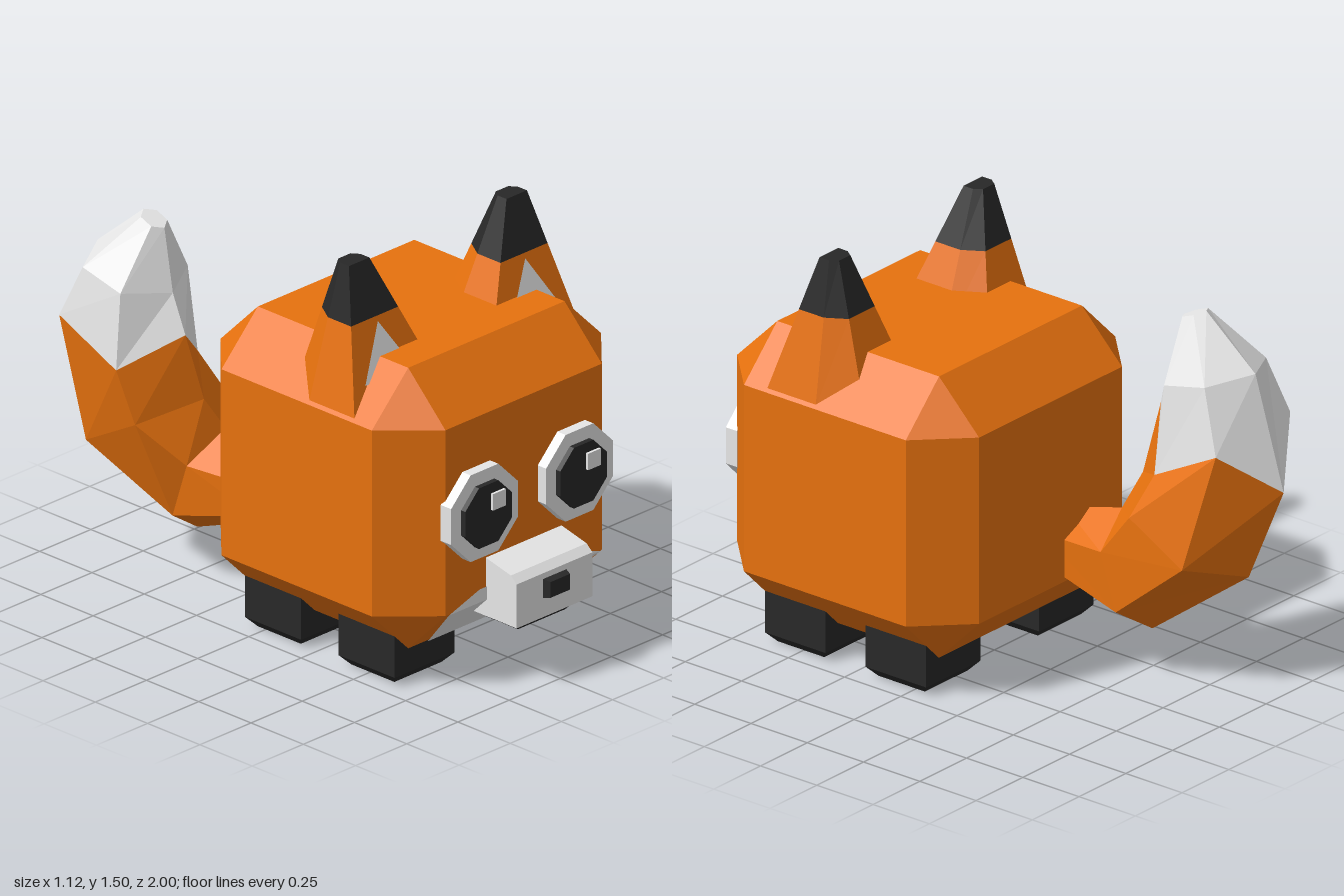
import * as THREE from 'three';
import { ConvexGeometry } from 'three/addons/geometries/ConvexGeometry.js';

const orange = new THREE.MeshStandardMaterial({ name: 'orange fur', color: 0xf0760f });
const white = new THREE.MeshStandardMaterial({ name: 'white fur', color: 0xf0f0f0 });
const black = new THREE.MeshStandardMaterial({ name: 'black', color: 0x282828 });

function flat(geometry) {
  const g = geometry.index ? geometry.toNonIndexed() : geometry;
  g.computeVertexNormals();
  return g;
}

function add(parent, name, geometry, material) {
  const mesh = new THREE.Mesh(flat(geometry), material);
  mesh.name = name;
  parent.add(mesh);
  return mesh;
}

function fromPoints(points) {
  const g = new THREE.BufferGeometry();
  g.setAttribute('position', new THREE.Float32BufferAttribute(points.flat(), 3));
  return g;
}

// Joins cross-sections (counterclockwise seen from the last one) and caps both ends
function loft(rings) {
  const out = [], n = rings[0].length, last = rings[rings.length - 1];
  for (let r = 0; r < rings.length - 1; r++) {
    const a = rings[r], b = rings[r + 1];
    for (let i = 0; i < n; i++) {
      const j = (i + 1) % n;
      out.push(a[i], a[j], b[j], a[i], b[j], b[i]);
    }
  }
  for (let i = 1; i < n - 1; i++) {
    out.push(last[0], last[i], last[i + 1]);
    out.push(rings[0][0], rings[0][i + 1], rings[0][i]);
  }
  return fromPoints(out);
}

// Regular plate facing +z, with flat sides on its four axes
function plate(n, halfW, halfH, z0, z1, taper = 1) {
  const r = 1 / Math.cos(Math.PI / n);
  return new THREE.CylinderGeometry(r * taper, r, z1 - z0, n)
    .rotateY(Math.PI / n).rotateX(Math.PI / 2)
    .scale(halfW, halfH, 1).translate(0, 0, (z0 + z1) / 2);
}

// Box with all edges cut off
function chamferedBox(min, max, cut) {
  const points = [];
  for (let corner = 0; corner < 8; corner++) {
    for (let face = 0; face < 3; face++) {
      const p = [0, 1, 2].map((k) => {
        const high = (corner >> k) & 1, inset = k === face ? 0 : cut;
        return high ? max[k] - inset : min[k] + inset;
      });
      points.push(new THREE.Vector3(...p));
    }
  }
  return new ConvexGeometry(points);
}

// Ear cross-section at height y: flat front, cut back corners
function earRing(y, side) {
  const d = 1.505 - y;
  const outer = 0.435 + d * 0.231, inner = 0.335 - d * 0.436;
  const front = 0.415 + d * 0.28, back = 0.345 - d * 0.307;
  const mid = front + (back - front) * 0.6, w = (outer - inner) * 0.2;
  const ring = [[outer, front], [inner, front], [inner, mid],
    [inner + w, back], [outer - w, back], [outer, mid]]
    .map(([x, z]) => [x * side, y, z]);
  return side < 0 ? ring : ring.reverse();
}

function makeEar(side) {
  const ear = new THREE.Group();
  ear.name = side > 0 ? 'leftEar' : 'rightEar';
  add(ear, 'earBase', loft([earRing(1.0, side), earRing(1.31, side)]), orange);
  add(ear, 'earTip', loft([earRing(1.31, side), earRing(1.505, side)]), black);
  const tri = [[0.475 * side, 1.105, 0.533], [0.24 * side, 1.105, 0.533], [0.36 * side, 1.295, 0.48]];
  add(ear, 'innerEar', fromPoints(side < 0 ? tri : tri.reverse()), white);
  return ear;
}

// Hexagon spanned by its front and back points [z, y], centred on x
function tailRing(x, rx, front, back, lift = []) {
  return [0, 1, 2, 3, 4, 5].map((i) => {
    const a = i * Math.PI / 3, t = (1 - Math.cos(a)) / 2;
    return [x + rx * Math.sin(a),
      front[1] + (back[1] - front[1]) * t + (lift[i] || 0),
      front[0] + (back[0] - front[0]) * t];
  });
}

function makeTail() {
  const tail = new THREE.Group();
  tail.name = 'tail';
  // zigzag edge where the two colours meet
  const border = tailRing(-0.35, 0.23, [-0.45, 0.94], [-0.995, 0.755], [0, -0.12, 0.115, 0, 0.15, -0.065]);
  add(tail, 'tailBase', loft([
    tailRing(-0.2, 0.14, [-0.15, 0.51], [-0.15, 0.29]),
    tailRing(-0.22, 0.18, [-0.385, 0.57], [-0.52, 0.155]),
    tailRing(-0.29, 0.25, [-0.42, 0.69], [-0.89, 0.43]),
    border,
  ]), orange);
  add(tail, 'tailTip', loft([
    border,
    tailRing(-0.35, 0.19, [-0.51, 1.08], [-0.87, 1.165]),
    tailRing(-0.34, 0.045, [-0.56, 1.305], [-0.66, 1.345]),
  ]), white);
  return tail;
}

function makeEye(side) {
  const eye = new THREE.Group();
  eye.name = side > 0 ? 'leftEye' : 'rightEye';
  add(eye, 'eyeWhite', plate(8, 0.163, 0.163, 0.815, 0.865), white);
  add(eye, 'pupil', plate(8, 0.114, 0.114, 0.86, 0.885), black);
  add(eye, 'eyeShine', plate(4, 0.031, 0.031, 0.88, 0.895), white).position.set(0.043, 0.045, 0);
  eye.position.set(0.232 * side, 0.655, 0);
  return eye;
}

function makeLeg(x, z) {
  const ring = (y, hx, hz) => [[-hx, y, hz], [hx, y, hz], [hx, y, -hz], [-hx, y, -hz]];
  const g = loft([ring(0, 0.115, 0.103), ring(0.035, 0.146, 0.134), ring(0.195, 0.146, 0.134)]);
  return g.translate(x, 0, z);
}

export function createModel() {
  const model = new THREE.Group();
  model.name = 'fox';

  add(model, 'body', chamferedBox([-0.56, 0.125, -0.25], [0.56, 1.18, 0.825], 0.178), orange);

  // Legs
  for (const side of [-1, 1]) {
    add(model, 'frontLeg', makeLeg(0.302 * side, 0.512), black);
    add(model, 'backLeg', makeLeg(0.302 * side, 0.065), black);
    model.add(makeEar(side), makeEye(side));
  }

  // Chin patch folded over the lower front edge
  const rows = [[0.29, 0.122, 0.65], [0.37, 0.303, 0.83], [0.22, 0.352, 0.83]];
  const chin = [];
  for (let i = 0; i < 2; i++) {
    const [a, b] = [rows[i], rows[i + 1]];
    const [la, lb] = [a, b].map(([x, y, z]) => [-x, y, z]);
    chin.push(la, a, b, la, b, lb);
  }
  add(model, 'chinPatch', fromPoints(chin), white);

  // Snout: side profile in (z, y), extruded across
  const profile = new THREE.Shape([[0.75, 0.24], [0.973, 0.24], [0.973, 0.405], [0.945, 0.43], [0.8, 0.465]]
    .map((p) => new THREE.Vector2(...p)));
  add(model, 'snout', new THREE.ExtrudeGeometry(profile, { depth: 0.37, bevelEnabled: false })
    .rotateY(-Math.PI / 2).translate(0.185, 0, 0), white);
  add(model, 'nose', plate(4, 0.06, 0.037, 0.965, 1.0, 0.8), black).position.y = 0.348;

  model.add(makeTail());
  return model;
}
